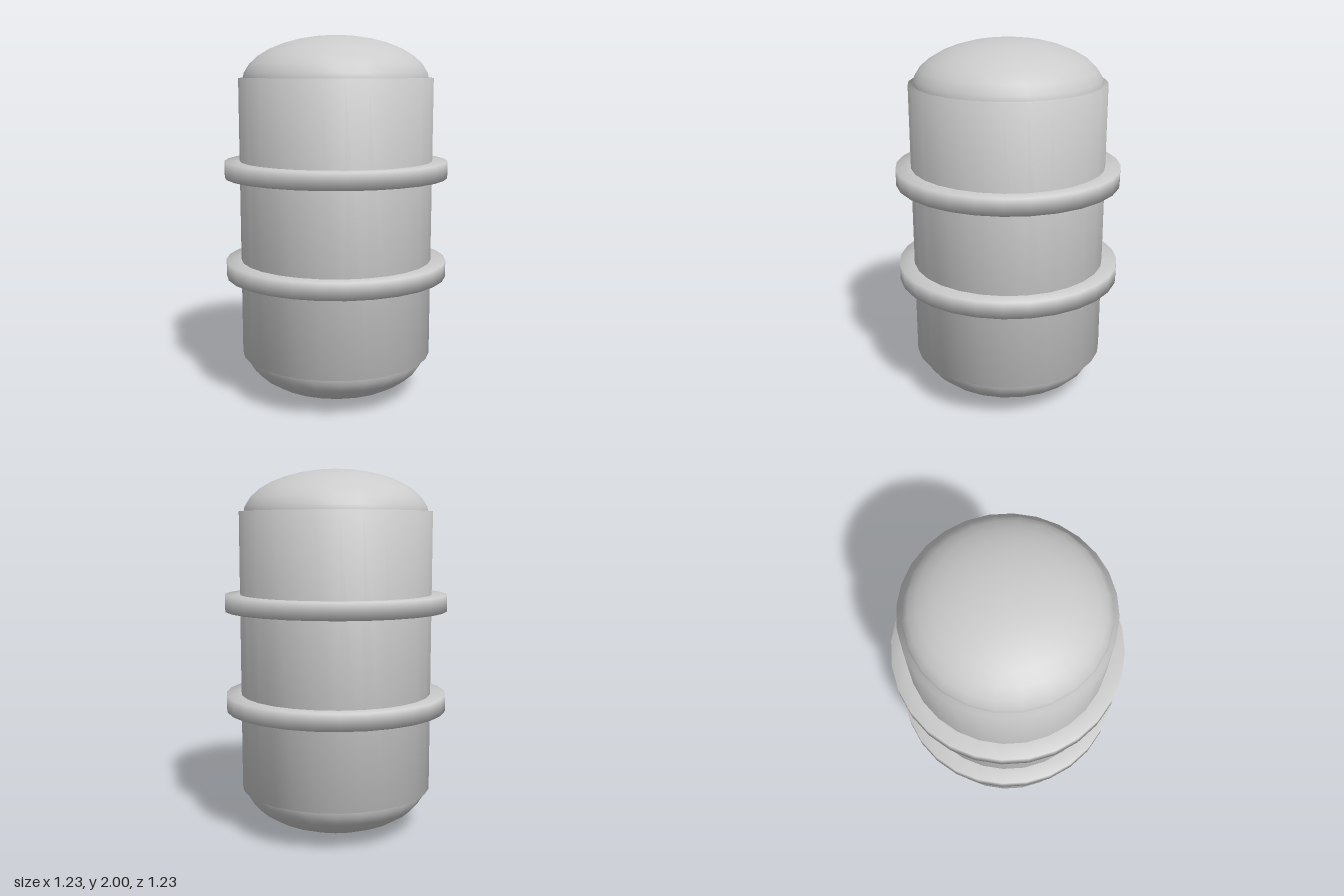
import * as THREE from 'three';

const material = new THREE.MeshStandardMaterial({ color: 0xcccccc });
const SIDES = 28;

// Smooth-shaded solid of revolution with a rectangular section, listed bottom to top
function drum(name, inner, outer, bottom, top) {
  const profile = [[inner, bottom], [outer, bottom], [outer, top], [inner, top]]
    .map(([r, y]) => new THREE.Vector2(r, y));
  const mesh = new THREE.Mesh(new THREE.LatheGeometry(profile, SIDES), material);
  mesh.name = name;
  return mesh;
}

// Flattened half sphere; its rim sits just inside the body
function dome(name, upper) {
  const radius = 0.51, height = 0.25;
  const geometry = new THREE.SphereGeometry(1, 24, 8, 0, Math.PI * 2, upper ? 0 : Math.PI / 2, Math.PI / 2);
  geometry.scale(radius, height, radius);
  geometry.translate(0, upper ? 2 - height : height, 0);
  const mesh = new THREE.Mesh(geometry, material);
  mesh.name = name;
  return mesh;
}

export function createModel() {
  const model = new THREE.Group();
  model.name = 'tank';

  // Cylindrical body
  model.add(drum('body', 0, 0.53, 0.237, 1.772));

  // Rounded ends
  model.add(dome('topDome', true), dome('bottomDome', false));

  // Two flat hoops around the body
  model.add(drum('lowerHoop', 0.5, 0.613, 0.684, 0.774));
  model.add(drum('upperHoop', 0.5, 0.613, 1.234, 1.324));

  return model;
}
